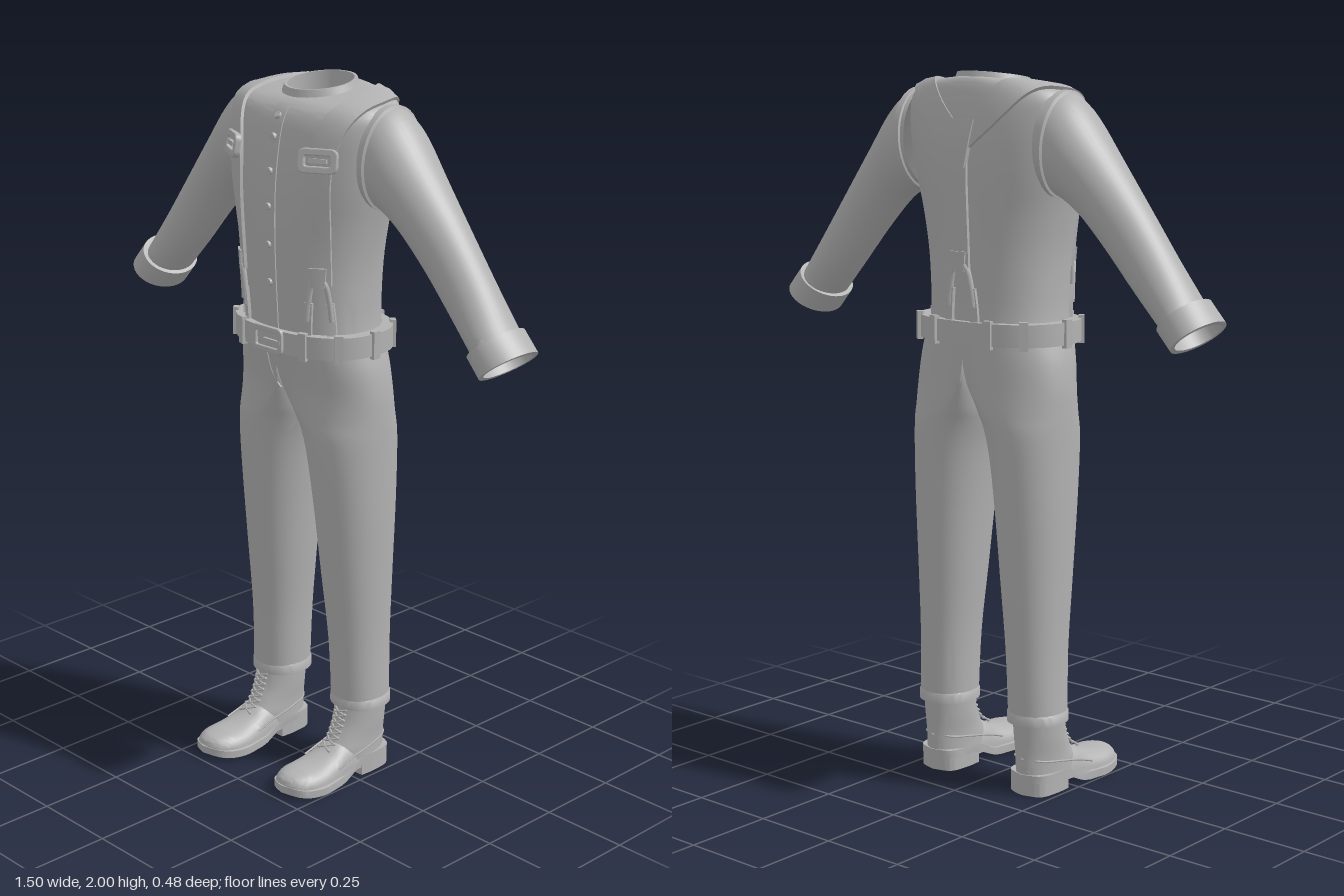
import * as THREE from 'three';
import { toCreasedNormals } from 'three/addons/utils/BufferGeometryUtils.js';

const V = (x, y, z) => new THREE.Vector3(x, y, z);
const cloth = new THREE.MeshStandardMaterial({ color: 0xb2b2b2, side: THREE.DoubleSide });
cloth.name = 'plain grey';

function add(parent, name, geo) {
  const m = new THREE.Mesh(geo, cloth);
  m.name = name;
  parent.add(m);
  return m;
}

// Smooth in-between rows for a table of cross-section parameters
function refine(rows, k = 4) {
  const out = [], at = i => rows[Math.max(0, Math.min(rows.length - 1, i))];
  for (let i = 0; i < rows.length - 1; i++) for (let s = 0; s < k; s++) {
    const t = s / k;
    out.push(rows[i].map((b, c) => {
      const a = at(i - 1)[c], d = at(i + 1)[c], e = at(i + 2)[c];
      return b + 0.5 * t * (d - a + t * (2 * a - 5 * b + 4 * d - e + t * (3 * (b - d) + e - a)));
    }));
  }
  return [...out, rows[rows.length - 1]];
}

// Skin over closed rings of points
function loft(rings, caps = false, crease = 0.7) {
  const n = rings[0].length, pos = [], idx = [];
  rings.forEach(r => r.forEach(p => pos.push(p.x, p.y, p.z)));
  for (let j = 0; j < rings.length - 1; j++) for (let i = 0; i < n; i++) {
    const a = j * n + i, b = j * n + (i + 1) % n;
    idx.push(a, b, a + n, b, b + n, a + n);
  }
  if (caps) for (const j of [0, rings.length - 1]) for (let i = 1; i < n - 1; i++) {
    const o = j * n;
    idx.push(...(j ? [o, o + i, o + i + 1] : [o, o + i + 1, o + i]));
  }
  const g = new THREE.BufferGeometry();
  g.setAttribute('position', new THREE.Float32BufferAttribute(pos, 3));
  g.setIndex(idx);
  return toCreasedNormals(g, crease);
}

const pw = (v, n) => Math.sign(v) * Math.pow(Math.abs(v), 2 / n);
const angles = n => Array.from({ length: n }, (_, i) => i / n * Math.PI * 2);

// Horizontal rounded ring; angle 0 faces the front, tilt lowers the front edge
function ringPoint(t, y, hw, zf, zb, n = 2, tilt = 0) {
  return V(hw * pw(Math.sin(t), n), y - tilt * Math.cos(t), (zf + zb) / 2 + (zf - zb) / 2 * pw(Math.cos(t), n));
}
const ring = (...p) => angles(56).map(t => ringPoint(t, ...p));

function frame(w, h, r, bar, depth) {
  const rect = (o, w, h, r) => {
    o.moveTo(-w + r, -h); o.lineTo(w - r, -h); o.quadraticCurveTo(w, -h, w, -h + r);
    o.lineTo(w, h - r); o.quadraticCurveTo(w, h, w - r, h); o.lineTo(-w + r, h);
    o.quadraticCurveTo(-w, h, -w, h - r); o.lineTo(-w, -h + r); o.quadraticCurveTo(-w, -h, -w + r, -h);
    return o;
  };
  const s = rect(new THREE.Shape(), w, h, r);
  s.holes.push(rect(new THREE.Path(), w - bar, h - bar, r * 0.6));
  return new THREE.ExtrudeGeometry(s, { depth, bevelEnabled: true, bevelSize: 0.003, bevelThickness: 0.003, bevelSegments: 2 });
}

export function createModel() {
  const model = new THREE.Group();
  const left = new THREE.Group();
  left.name = 'leftSide';

  // Shirt body
  const torso = add(model, 'shirtBody', loft(refine([
    [1.27, 0.212, 0.1, -0.21, 2.3, 0], [1.36, 0.202, 0.104, -0.205, 2.3, 0], [1.5, 0.206, 0.112, -0.21, 2.3, 0],
    [1.62, 0.225, 0.115, -0.217, 2.3, 0], [1.72, 0.247, 0.112, -0.222, 2.4, 0], [1.81, 0.261, 0.102, -0.221, 2.5, 0],
    [1.88, 0.266, 0.088, -0.213, 2.6, 0], [1.925, 0.262, 0.07, -0.203, 2.6, 0.004], [1.952, 0.235, 0.052, -0.193, 2.4, 0.012],
    [1.965, 0.17, 0.038, -0.184, 2.2, 0.016], [1.97, 0.108, 0.026, -0.176, 2, 0.016]]).map(r => ring(...r)), false, 1.2));
  torso.updateMatrixWorld();

  // Collar band with an inner wall
  add(model, 'collar', loft([
    ring(1.962, 0.11, 0.03, -0.18, 2, 0.016), ring(1.987, 0.1, 0.022, -0.174, 2, 0.013),
    ring(1.987, 0.092, 0.014, -0.166, 2, 0.013), ring(1.93, 0.092, 0.012, -0.164, 2, 0.013)]));

  // Drop a point onto the shirt, then lift it off by a small distance
  const caster = new THREE.Raycaster();
  function onShirt(p, lift) {
    const core = V(p.x * 0.6, Math.min(p.y, 1.78), -0.075);
    const dir = p.clone().sub(core).normalize();
    caster.set(core.clone().addScaledVector(dir, 1), dir.clone().negate());
    const hit = caster.intersectObject(torso)[0];
    return (hit ? hit.point : p.clone()).addScaledVector(dir, lift);
  }
  // Flat band lying on the shirt
  function strap(parent, name, pts, w0, w1 = w0, thick = 0.01, steps = 30) {
    const curve = new THREE.CatmullRomCurve3(pts.map(p => V(...p)));
    const rings = [];
    for (let i = 0; i <= steps; i++) {
      const t = i / steps, p = curve.getPoint(t), w = w0 + (w1 - w0) * t;
      const out = p.clone().sub(V(p.x * 0.6, Math.min(p.y, 1.78), -0.075)).normalize();
      const side = curve.getTangent(t).cross(out).normalize();
      const at = (s, lift) => onShirt(p.clone().addScaledVector(side, s * w), lift);
      rings.push([at(-1, -0.004), at(-1, thick), at(0, thick + 0.001), at(1, thick), at(1, -0.004)]);
    }
    return add(parent, name, loft(rings, true));
  }
  function cord(parent, name, pts, r, lift = 0.008) {
    const c = new THREE.CatmullRomCurve3(pts.map(p => onShirt(V(...p), lift)));
    add(parent, name, new THREE.TubeGeometry(c, 24, r, 8));
  }

  // Button front
  strap(model, 'placket', [[0, 1.94, 0.06], [0, 1.85, 0.1], [0, 1.6, 0.11], [0, 1.32, 0.1]], 0.022, 0.022, 0.004);
  for (const y of [1.935, 1.86, 1.765, 1.67, 1.565, 1.46]) {
    const b = add(model, 'button', new THREE.CylinderGeometry(0.009, 0.011, 0.008, 14).rotateX(Math.PI / 2));
    b.position.copy(onShirt(V(0, y, 0.11), 0.007));
    if (y > 1.9) b.rotation.x = -0.7;
  }

  // Braces: front strap over the shoulder to the back patch
  strap(left, 'braceStrap', [[0.158, 1.47, 0.1], [0.16, 1.6, 0.1], [0.165, 1.8, 0.09], [0.187, 1.9, 0.06], [0.205, 1.95, 0.0],
    [0.2, 1.96, -0.08], [0.16, 1.94, -0.15], [0.09, 1.88, -0.2], [0.015, 1.82, -0.22]], 0.037, 0.034, 0.01, 60);
  const buckle = add(left, 'braceBuckle', frame(0.052, 0.03, 0.018, 0.013, 0.012));
  buckle.position.copy(onShirt(V(0.163, 1.813, 0.09), 0.01));
  buckle.rotation.set(-0.15, 0.5, 0, 'YXZ');
  const bar = add(buckle, 'buckleBar', new THREE.BoxGeometry(0.05, 0.012, 0.012));
  bar.position.z = 0.008;

  // Clip ring and split tabs at the lower end of a brace
  function clip(parent, x, z, w) {
    cord(parent, 'clipRing', [[x - w, 1.37, z], [x - w * 0.85, 1.42, z], [x - w * 0.5, 1.475, z], [x, 1.49, z],
      [x + w * 0.5, 1.475, z], [x + w * 0.85, 1.42, z], [x + w, 1.37, z]], 0.008);
    for (const s of [-1, 1])
      strap(parent, 'clipTab', [[x + s * w * 0.85, 1.42, z], [x + s * w, 1.36, z], [x + s * w * 1.05, 1.3, z]], 0.011, 0.014, 0.01, 8);
    strap(parent, 'clipFold', [[x, 1.52, z], [x, 1.465, z]], 0.026, 0.018, 0.016, 6);
  }
  clip(left, 0.16, 0.1, 0.037);
  clip(model, 0, -0.22, 0.045);
  strap(model, 'backStrap', [[0, 1.83, -0.22], [0, 1.65, -0.22], [0, 1.47, -0.21]], 0.034, 0.03);
  strap(model, 'backPatch', [[0, 1.865, -0.21], [0, 1.8, -0.22], [0, 1.745, -0.22]], 0.055, 0.03, 0.016, 12);

  // Sleeve rings: upper x,y then lower x,y then front and back z
  const armRing = ([ux, uy, lx, ly, zf, zb]) => angles(36).map(t => {
    const c = (1 + Math.cos(t)) / 2;
    return V(lx + (ux - lx) * c, ly + (uy - ly) * c, (zf + zb) / 2 + (zf - zb) / 2 * Math.sin(t));
  });
  add(left, 'sleeve', loft(refine([
    [0.235, 1.948, 0.225, 1.68, 0.022, -0.19], [0.275, 1.944, 0.25, 1.672, 0.022, -0.19], [0.33, 1.9, 0.29, 1.653, 0.02, -0.188],
    [0.41, 1.8, 0.345, 1.612, 0.008, -0.175], [0.52, 1.66, 0.425, 1.528, -0.006, -0.162],
    [0.612, 1.535, 0.505, 1.44, -0.008, -0.16], [0.69, 1.425, 0.598, 1.347, 0, -0.164]]).map(armRing), false, 1.2));
  add(left, 'armholeSeam', loft([
    [0.25, 1.945, 0.232, 1.674, 0.024, -0.192], [0.252, 1.953, 0.234, 1.668, 0.03, -0.198],
    [0.272, 1.952, 0.25, 1.664, 0.03, -0.198], [0.276, 1.943, 0.252, 1.672, 0.022, -0.19]].map(armRing)));
  add(left, 'sleeveCuff', loft([
    [0.69, 1.42, 0.6, 1.345, 0, -0.164], [0.702, 1.434, 0.592, 1.337, 0.014, -0.173], [0.749, 1.38, 0.637, 1.288, 0.016, -0.175],
    [0.738, 1.371, 0.648, 1.297, 0.003, -0.162], [0.68, 1.43, 0.6, 1.36, 0, -0.16]].map(armRing)));

  // Trousers: each leg turns into half of the hips
  const legRing = ([y, xi, xo, zf, zb, t]) => angles(44).map(a => {
    const s = pw(Math.sin(a), 2.2), rx = (xo - xi) / 2;
    const x = (1 - t) * (xi + rx + rx * s) + t * xo * Math.max(0, s);
    return V(Math.max(0, x), y, (zf + zb) / 2 + (zf - zb) / 2 * pw(Math.cos(a), 2.2));
  });
  add(left, 'trouserLeg', loft(refine([
    [0.205, 0.087, 0.245, 0.002, -0.166, 0], [0.4, 0.08, 0.241, 0.01, -0.171, 0], [0.6, 0.062, 0.246, 0.029, -0.18, 0],
    [0.8, 0.044, 0.252, 0.048, -0.19, 0], [0.95, 0.025, 0.254, 0.062, -0.197, 0], [1.03, 0.008, 0.255, 0.068, -0.201, 0.08],
    [1.08, 0, 0.255, 0.071, -0.204, 0.4], [1.15, 0, 0.253, 0.078, -0.207, 0.85], [1.22, 0, 0.243, 0.092, -0.209, 1],
    [1.28, 0, 0.226, 0.105, -0.21, 1]]).map(legRing), false, 1.2));
  add(left, 'trouserHem', loft([
    [0.235, 0.086, 0.244, 0.001, -0.166, 0], [0.23, 0.083, 0.248, 0.004, -0.169, 0], [0.204, 0.083, 0.248, 0.004, -0.169, 0],
    [0.204, 0.095, 0.236, -0.008, -0.158, 0]].map(legRing)));
  const fly = new THREE.CatmullRomCurve3([V(-0.03, 1.26, 0.102), V(-0.026, 1.2, 0.087), V(-0.012, 1.165, 0.078), V(0, 1.15, 0.074)]);
  add(model, 'flySeam', new THREE.TubeGeometry(fly, 12, 0.003, 6));

  // Belt, buckle and loops
  const belt = [0.24, 0.12, -0.223, 2.4];
  const inner = [0.205, 0.09, -0.195, 2.4];
  add(model, 'belt', loft([ring(1.268, ...inner), ring(1.268, ...belt), ring(1.33, ...belt), ring(1.33, ...inner)]));
  const clasp = add(model, 'beltBuckle', frame(0.056, 0.034, 0.014, 0.01, 0.008));
  clasp.position.set(-0.003, 1.299, 0.116);
  const prong = add(model, 'buckleProng', new THREE.BoxGeometry(0.065, 0.008, 0.008));
  prong.position.set(0.018, 1.299, 0.125);
  for (const a of [0.45, 0.98, Math.PI / 2, 2.3, 2.8]) {
    const p = ringPoint(a, 1.299, ...belt), q = ringPoint(a + 0.02, 1.299, ...belt);
    const loop = add(left, 'beltLoop', new THREE.BoxGeometry(0.024, 0.078, 0.016));
    loop.position.copy(p);
    loop.rotation.y = Math.atan2(-(q.z - p.z), q.x - p.x);
  }

  // Boot
  const boot = new THREE.Group();
  boot.name = 'boot';
  boot.position.x = 0.168;
  left.add(boot);
  add(boot, 'bootShaft', loft(refine([
    [0.225, 0.07, -0.006, -0.16], [0.16, 0.068, 0.008, -0.157], [0.115, 0.065, 0.03, -0.156],
    [0.08, 0.065, 0.05, -0.156], [0.045, 0.066, 0.05, -0.154]]).map(r => ring(...r)), false, 1.2));
  add(boot, 'bootFoot', loft(refine([
    [-0.03, 0.062, 0.12], [0.03, 0.064, 0.108], [0.07, 0.068, 0.086], [0.12, 0.073, 0.072], [0.17, 0.07, 0.069],
    [0.205, 0.054, 0.063], [0.222, 0.034, 0.054], [0.229, 0.012, 0.045]]).map(([z, hw, top]) =>
    angles(32).map(a => V(hw * pw(Math.cos(a), 2.3), 0.024 + (top - 0.024) * pw(Math.max(0, Math.sin(a)), 2.3), z))), true, 1));
  const slab = (pts, depth) => {
    const half = new THREE.SplineCurve(pts.map(p => new THREE.Vector2(...p))).getPoints(24);
    const mirror = half.filter(p => p.x > 1e-6).reverse().map(p => new THREE.Vector2(-p.x, p.y));
    return new THREE.ExtrudeGeometry(new THREE.Shape([...half, ...mirror]), { depth, bevelEnabled: false }).rotateX(Math.PI / 2);
  };
  const sole = slab([[0, -0.159], [0.055, -0.138], [0.068, -0.08], [0.064, 0], [0.075, 0.08], [0.08, 0.14], [0.058, 0.208], [0, 0.237]], 0.022);
  const sp = sole.attributes.position;
  for (let i = 0; i < sp.count; i++) {
    const z = sp.getZ(i), toe = Math.max(0, z - 0.14) / 0.1;
    sp.setY(i, sp.getY(i) + 0.024 + 0.037 * (1 - THREE.MathUtils.smoothstep(z, -0.05, 0.06)) + 0.016 * toe * toe);
  }
  add(boot, 'bootSole', toCreasedNormals(sole, 0.7));
  const heel = add(boot, 'bootHeel', toCreasedNormals(slab([[0, -0.157], [0.054, -0.137], [0.066, -0.08], [0.064, -0.025]], 0.042), 0.7));
  heel.position.y = 0.042;

  // Side seams of the boot, then lacing up the front
  for (const s of [-1, 1]) {
    const seam = new THREE.CatmullRomCurve3([V(0, 0.105, -0.157), V(s * 0.05, 0.1, -0.125), V(s * 0.068, 0.088, -0.05),
      V(s * 0.066, 0.072, 0.02), V(s * 0.069, 0.055, 0.075)]);
    add(boot, 'bootSeam', new THREE.TubeGeometry(seam, 24, 0.003, 6));
  }
  const front = [[0.095, 0.068], [0.108, 0.047], [0.122, 0.032], [0.138, 0.023], [0.154, 0.015], [0.17, 0.009], [0.186, 0.004], [0.2, 0]];
  front.forEach(([y, z], i) => {
    for (const s of [-1, 1]) {
      const eye = add(boot, 'eyelet', new THREE.SphereGeometry(0.005, 8, 6));
      eye.position.set(s * 0.02, y, z - 0.001);
      if (i === front.length - 1) continue;
      const [y2, z2] = front[i + 1];
      const lace = new THREE.CatmullRomCurve3([V(s * 0.02, y, z), V(0, (y + y2) / 2, (z + z2) / 2 + 0.006), V(-s * 0.02, y2, z2)]);
      add(boot, 'lace', new THREE.TubeGeometry(lace, 6, 0.003, 6));
    }
  });

  // Mirror everything paired
  const right = left.clone();
  right.name = 'rightSide';
  right.scale.x = -1;
  model.add(left, right);
  return model;
}
